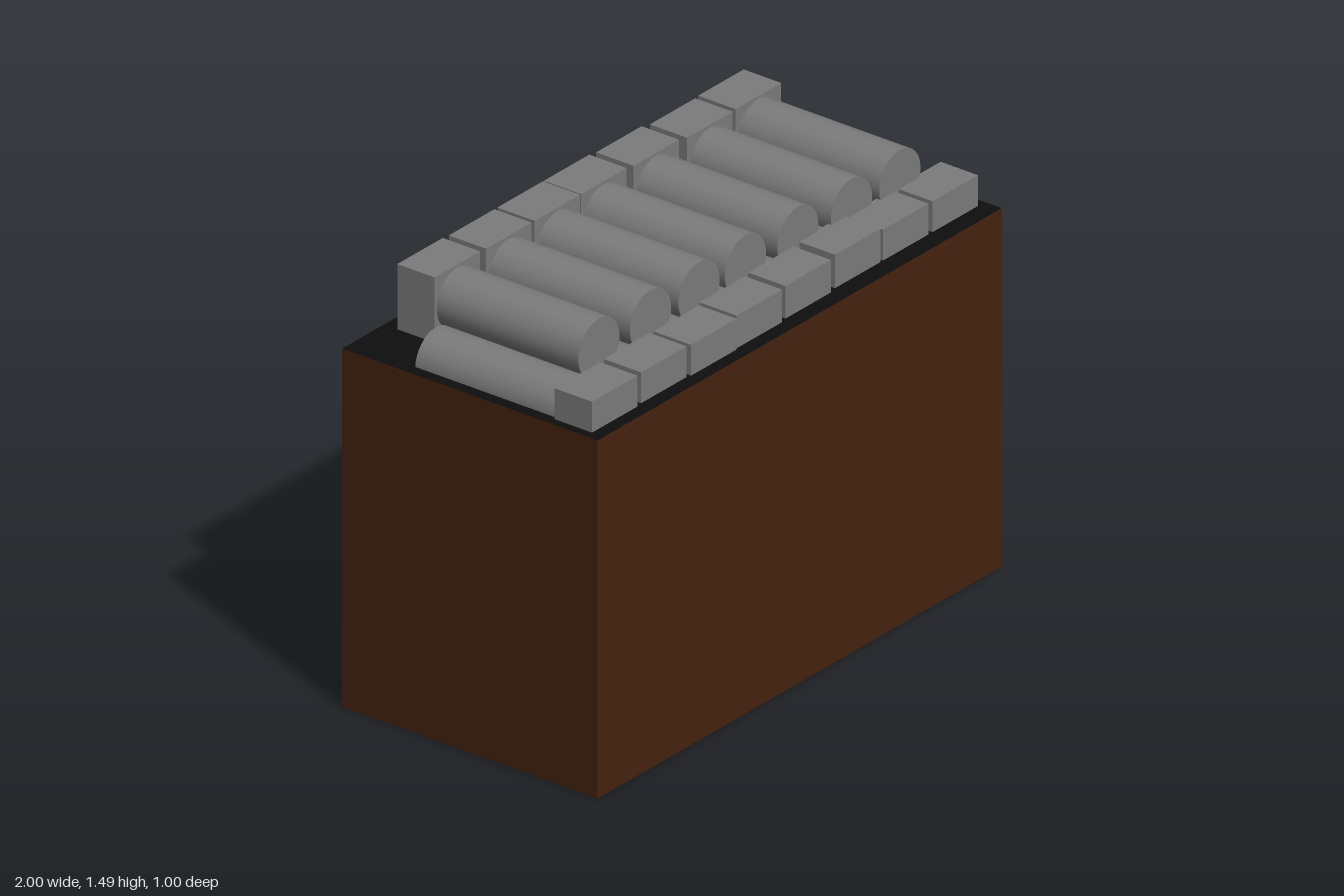
import * as THREE from 'three';

const mat = (name, color) => Object.assign(new THREE.MeshStandardMaterial({ color }), { name });

export function createModel() {
  const brown = mat('darkBrown', 0x45220e);
  const black = mat('black', 0x0e0e0e);
  const grey = mat('grey', 0x7c7c7c);
  const model = new THREE.Group();
  model.name = 'crateWithRollers';
  const topY = 1.235;

  // Solid crate: black top face, brown on every other side
  const crate = new THREE.Mesh(new THREE.BoxGeometry(2, topY, 1),
    [brown, brown, black, brown, brown, brown]);
  crate.name = 'crate';
  crate.position.y = topY / 2;
  model.add(crate);

  // A roller: cylinder along z with a square block on one end (dir = side of the block)
  const bodyLength = 0.555, blockDepth = 0.146;
  const bodyGeo = new THREE.CylinderGeometry(0.102, 0.102, bodyLength, 32).rotateX(Math.PI / 2);
  const blockGeo = new THREE.BoxGeometry(0.225, 0.225, blockDepth);
  function addRoller(name, x, y, joinZ, dir) {
    const roller = new THREE.Group();
    roller.name = name;
    const body = new THREE.Mesh(bodyGeo, grey);
    body.name = 'rollerBody';
    body.position.z = -dir * bodyLength / 2;
    const block = new THREE.Mesh(blockGeo, grey);
    block.name = 'endBlock';
    block.position.z = dir * blockDepth / 2;
    roller.add(body, block);
    roller.position.set(x, y, joinZ);
    model.add(roller);
  }

  // Lower row, half sunk in the crate, blocks at the front: x, y, z of the joint
  [[-0.857, 1.229, 0.308], [-0.608, 1.229, 0.303], [-0.367, 1.229, 0.308], [-0.135, 1.235, 0.303],
    [0.115, 1.235, 0.296], [0.37, 1.238, 0.288], [0.608, 1.229, 0.288], [0.853, 1.229, 0.288],
  ].forEach(([x, y, z]) => addRoller('lowerRoller', x, y, z, 1));

  // Upper row lying in the gaps, blocks at the back
  [[-0.72, 1.373, -0.271], [-0.47, 1.373, -0.267], [-0.23, 1.373, -0.267], [0, 1.373, -0.267],
    [0.25, 1.373, -0.26], [0.508, 1.368, -0.254], [0.745, 1.373, -0.252],
  ].forEach(([x, y, z]) => addRoller('upperRoller', x, y, z, -1));

  return model;
}
